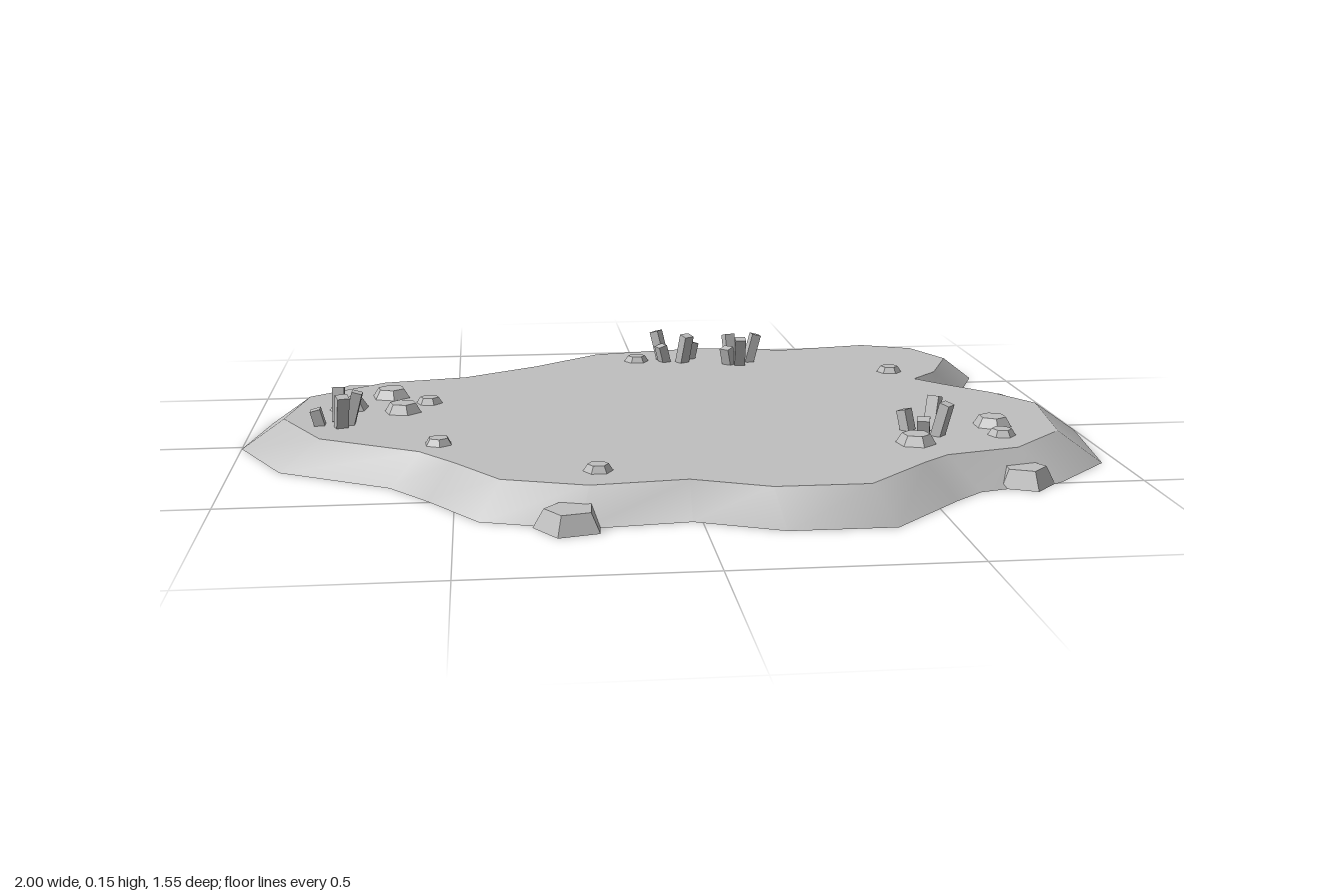
import * as THREE from 'three';

const TOP = 0.07;
const INSET = 0.9;

// shoreline at ground level, [x, z], running from +x towards +z
const SHORE = [
  [1, 0.05], [0.96, 0.35], [0.81, 0.5], [0.62, 0.55], [0.55, 0.61], [0.385, 0.775],
  [0.16, 0.775], [-0.02, 0.695], [-0.25, 0.72], [-0.45, 0.65], [-0.555, 0.495], [-0.64, 0.385],
  [-0.89, 0.235], [-1, 0.015], [-0.955, -0.235], [-0.76, -0.39], [-0.535, -0.435], [-0.325, -0.565],
  [-0.135, -0.72], [0.19, -0.78], [0.445, -0.725], [0.705, -0.775], [0.845, -0.71], [0.91, -0.55],
  [0.83, -0.365], [0.75, -0.28], [0.815, -0.2], [0.92, -0.085],
];

// tapered stones: [x, z, radius, height, first corner in degrees]
const PEBBLES = [
  [-0.66, -0.19, 0.048, 0.022, 20], [-0.565, -0.115, 0.032, 0.015, 10], [-0.755, -0.075, 0.048, 0.022, 40],
  [-0.625, -0.03, 0.045, 0.022, 15], [-0.02, -0.55, 0.033, 0.015, 0], [0.63, -0.345, 0.032, 0.015, 10],
  [-0.535, 0.285, 0.032, 0.015, 25], [-0.2, 0.54, 0.032, 0.015, 0], [0.73, 0.25, 0.045, 0.022, 30],
  [0.725, 0.34, 0.032, 0.015, 10], [0.515, 0.39, 0.045, 0.022, 20],
];
const ROCKS = [
  [-0.76, -0.415, 0.078, 0.04, 172], [0.855, -0.145, 0.072, 0.04, 14],
  [0.73, 0.495, 0.068, 0.04, 7], [-0.268, 0.705, 0.075, 0.04, 40],
];

// reed clumps: centre [x, z] and stalks [x, z, height]
const CLUMPS = [
  { at: [0.085, -0.55], stalks: [[0.045, -0.575, 0.08], [0.13, -0.573, 0.048], [0.05, -0.535, 0.048], [0.107, -0.515, 0.08]] },
  { at: [0.25, -0.51], stalks: [[0.235, -0.555, 0.07], [0.29, -0.515, 0.078], [0.22, -0.48, 0.05], [0.25, -0.465, 0.078]] },
  { at: [-0.77, 0.08], stalks: [[-0.77, 0.038, 0.08], [-0.815, 0.08, 0.04], [-0.733, 0.082, 0.08], [-0.757, 0.118, 0.08]] },
  { at: [0.555, 0.305], stalks: [[0.522, 0.268, 0.05], [0.583, 0.27, 0.08], [0.543, 0.345, 0.048], [0.588, 0.335, 0.08]] },
];

export function createModel() {
  const stone = new THREE.MeshStandardMaterial({ color: 0xbfbfbf });
  stone.name = 'grey stone';
  const facetedStone = stone;
  const group = new THREE.Group();
  group.name = 'pond';

  const add = (geometry, name, parent = group) => {
    const mesh = new THREE.Mesh(geometry, facetedStone);
    mesh.name = name;
    parent.add(mesh);
    return mesh;
  };

  // flat top and underside
  const cap = (scale, flip) => new THREE.ShapeGeometry(
    new THREE.Shape(SHORE.map(([x, z]) => new THREE.Vector2(x * scale, z * scale * flip))));
  add(cap(INSET, -1).rotateX(-Math.PI / 2), 'surface').position.y = TOP;
  add(cap(1, 1).rotateX(Math.PI / 2), 'underside');

  // smooth sloping bank between the two outlines
  const positions = [];
  const index = [];
  const n = SHORE.length;
  SHORE.forEach(([x, z], i) => {
    positions.push(x, 0, z, x * INSET, TOP, z * INSET);
    const b = 2 * i;
    const c = 2 * ((i + 1) % n);
    index.push(b, b + 1, c, c, b + 1, c + 1);
  });
  const bank = new THREE.BufferGeometry();
  bank.setAttribute('position', new THREE.Float32BufferAttribute(positions, 3));
  bank.setIndex(index);
  bank.computeVertexNormals();
  add(bank, 'bank');

  // faceted stones on the surface and along the bank
  const addStone = ([x, z, radius, height, corner], sides, base, name) => {
    const start = Math.PI / 2 - THREE.MathUtils.degToRad(corner);
    const geometry = new THREE.CylinderGeometry(radius * 0.7, radius, height, sides, 1, false, start).toNonIndexed();
    geometry.computeVertexNormals();
    add(geometry, name).position.set(x, base + height / 2, z);
  };
  PEBBLES.forEach((p) => addStone(p, 6, TOP, 'pebble'));
  ROCKS.forEach((r) => addStone(r, 5, 0, 'bankRock'));

  // square stalks leaning away from the middle of each clump
  const up = new THREE.Vector3(0, 1, 0);
  for (const { at, stalks } of CLUMPS) {
    const clump = new THREE.Group();
    clump.name = 'reedClump';
    group.add(clump);
    for (const [x, z, height] of stalks) {
      const out = new THREE.Vector3(x - at[0], 0, z - at[1]).normalize();
      const lean = out.clone().multiplyScalar(0.27).add(up).normalize();
      const side = new THREE.Vector3().crossVectors(lean, out).normalize();
      const depth = new THREE.Vector3().crossVectors(side, lean);
      const stalk = add(new THREE.BoxGeometry(0.028, height, 0.024), 'reed', clump);
      stalk.quaternion.setFromRotationMatrix(new THREE.Matrix4().makeBasis(side, lean, depth));
      stalk.position.set(x, TOP + height / 2 - 0.003, z);
    }
  }
  return group;
}
